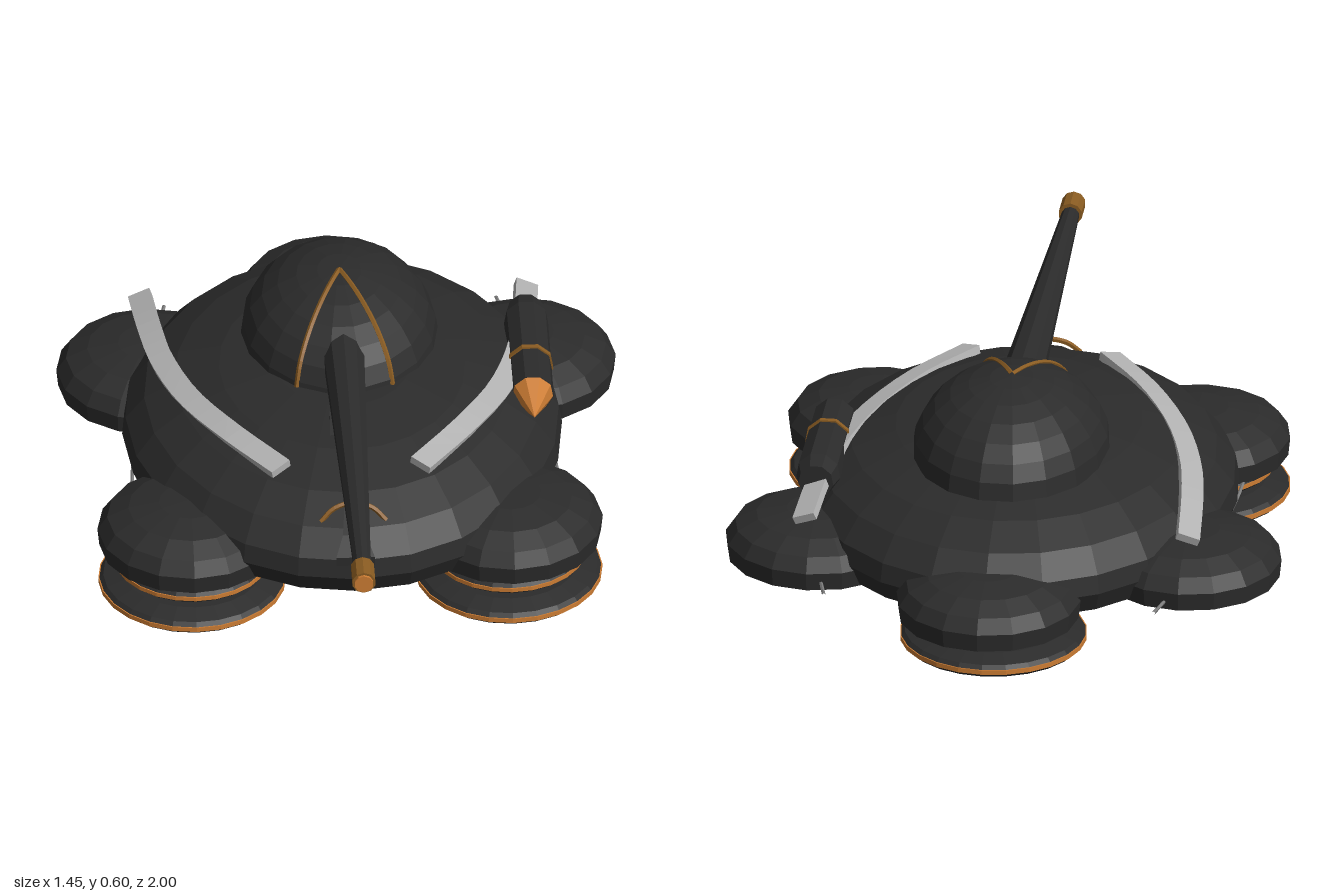
import * as THREE from 'three';

const mat = (name, color) => {
  const m = new THREE.MeshStandardMaterial({ color, flatShading: true });
  m.name = name;
  return m;
};

export function createModel() {
  const root = new THREE.Group();
  root.name = 'hoverTank';
  const armour = mat('charcoal armour', 0x2b2b2b);
  const orange = mat('bright orange', 0xcc7c33);
  const bronze = mat('bronze trim', 0x8a5c22);
  const silver = mat('silver strip', 0xb4b4b4);
  const steel = mat('steel rod', 0x7c7c7c);

  const add = (name, geo, material, x = 0, y = 0, z = 0, parent = root) => {
    const m = new THREE.Mesh(geo, material);
    m.name = name;
    m.position.set(x, y, z);
    parent.add(m);
    return m;
  };
  const lathe = (pts, seg) => new THREE.LatheGeometry(pts.map(p => new THREE.Vector2(p[0], p[1])), seg);
  const vecs = pts => pts.map(p => new THREE.Vector3(...p));
  const tube = (pts, r, n = 16) =>
    new THREE.TubeGeometry(new THREE.CatmullRomCurve3(vecs(pts)), n, r, 5, false);
  // Cylinder lying along z, from z0 (radius r0) to z1 (radius r1)
  const rod = (r0, r1, z0, z1, seg) =>
    new THREE.CylinderGeometry(r1, r0, z1 - z0, seg).rotateX(Math.PI / 2).translate(0, 0, (z0 + z1) / 2);

  // Capped skin over equal rings, each counter-clockwise about the direction of travel
  const loft = rings => {
    const k = rings[0].length, idx = [];
    for (let i = 0; i < rings.length - 1; i++) {
      for (let j = 0; j < k; j++) {
        const a = i * k + j, b = i * k + (j + 1) % k;
        idx.push(a, b, b + k, a, b + k, a + k);
      }
    }
    const e = (rings.length - 1) * k;
    for (let j = 1; j < k - 1; j++) idx.push(0, j + 1, j, e, e + j, e + j + 1);
    const g = new THREE.BufferGeometry().setFromPoints(rings.flat());
    g.setIndex(idx);
    const flat = g.toNonIndexed();
    flat.computeVertexNormals();
    return flat;
  };
  const rect = (w, y0, y1, z) => vecs([[-w, y0, z], [w, y0, z], [w, y1, z], [-w, y1, z]]);

  // Hull: oval saucer with a shallow bowl below
  add('hull', lathe([
    [0, 0.066], [0.35, 0.08], [0.7, 0.112], [0.96, 0.145], [1, 0.2], [0.985, 0.25],
    [0.9, 0.31], [0.76, 0.358], [0.56, 0.398], [0.32, 0.422], [0, 0.43],
  ], 24).scale(0.57, 1, 0.695), armour, 0, 0, -0.135);

  // Domed pods around the rim
  const podGeo = lathe([
    [0, 0.14], [0.235, 0.14], [0.24, 0.188], [0.215, 0.225], [0.16, 0.252], [0.08, 0.268], [0, 0.272],
  ], 16);
  for (const [x, z] of [[0.415, 0.28], [-0.415, 0.28], [0.485, -0.45], [-0.485, -0.45], [0, -0.76]]) {
    add('rimPod', podGeo, armour, x, 0, z);
  }

  // Hover stacks: two discs with glowing bands
  const disc = (parent, r, y0, h) => {
    add('hoverDisc', lathe([
      [0, y0], [r * 0.76, y0], [r * 0.96, y0 + h * 0.25], [r, y0 + h * 0.42], [r, y0 + h * 0.62],
      [r * 0.96, y0 + h * 0.78], [r * 0.76, y0 + h], [0, y0 + h],
    ], 24), armour, 0, 0, 0, parent);
    add('discBand', new THREE.CylinderGeometry(r + 0.003, r + 0.003, h * 0.2, 24, 1), orange,
      0, y0 + h * 0.52, 0, parent);
  };
  for (const [x, z] of [[0.41, 0.29], [-0.41, 0.29], [0, -0.66]]) {
    const stack = new THREE.Group();
    stack.name = 'hoverStack';
    stack.position.set(x, 0, z);
    root.add(stack);
    disc(stack, 0.24, 0.004, 0.062);
    disc(stack, 0.2, 0.076, 0.055);
    add('stackHub', new THREE.CylinderGeometry(0.1, 0.1, 0.1, 16), armour, 0, 0.1, 0, stack);
    add('thrusterPlate', new THREE.CylinderGeometry(0.12, 0.12, 0.006, 24), orange, 0, 0.003, 0, stack);
  }

  // Turret dome
  const T = { y: 0.39, z: -0.285, rx: 0.257, ry: 0.207, rz: 0.33 };
  add('turret', new THREE.SphereGeometry(1, 18, 7, 0, Math.PI * 2, 0, Math.PI / 2).scale(T.rx, T.ry, T.rz),
    armour, 0, T.y, T.z);

  // Trim lines running down the dome from its crown
  for (const s of [1, -1]) {
    const pts = [];
    for (let i = 0; i <= 10; i++) {
      const t = i / 10, x = 0.128 * t, z = -0.28 + 0.285 * t;
      const q = 1 - (x / T.rx) ** 2 - ((z - T.z) / T.rz) ** 2;
      pts.push([s * x, T.y + T.ry * Math.sqrt(Math.max(0, q)), z]);
    }
    add('turretTrim', tube(pts, 0.007, 20), bronze);
  }

  // Gun
  add('barrel', rod(0.058, 0.023, -0.12, 0.93, 10), armour, 0, 0.485, 0);
  add('muzzle', rod(0.031, 0.031, 0.92, 0.993, 10), bronze, 0, 0.487, 0);
  add('bore', rod(0.025, 0.025, 0.993, 1, 10), orange, 0, 0.487, 0);
  add('barrelMount', loft([rect(0.035, 0.38, 0.46, -0.05), rect(0.045, 0.37, 0.43, 0.12),
    rect(0.05, 0.36, 0.385, 0.26)]), armour);

  // Nose vent and its arch
  add('noseVent', loft([rect(0.022, 0.3, 0.345, 0.43), rect(0.03, 0.26, 0.305, 0.51),
    rect(0.05, 0.245, 0.27, 0.562)]), armour);
  add('noseArch', tube([[-0.085, 0.315, 0.46], [-0.05, 0.347, 0.447], [0, 0.358, 0.44],
    [0.05, 0.347, 0.447], [0.085, 0.315, 0.46]], 0.007), bronze);

  // Curved strips over the deck and thin rods under the rim
  for (const s of [1, -1]) {
    const curve = new THREE.CatmullRomCurve3(vecs([
      [0.18, 0.381, 0.31], [0.3, 0.377, 0.14], [0.4, 0.36, -0.05], [0.46, 0.345, -0.25],
      [0.485, 0.333, -0.42], [0.5, 0.307, -0.605],
    ].map(([x, y, z]) => [s * x, y, z])));
    const rings = [];
    for (let i = 0; i <= 16; i++) {
      const p = curve.getPoint(i / 16), t = curve.getTangent(i / 16);
      const up = new THREE.Vector3(0.8 * p.x, 1, 0.5 * (p.z + 0.135)).normalize();
      const side = up.clone().cross(t).normalize();
      rings.push([[-1, -1], [1, -1], [1, 1], [-1, 1]].map(([a, b]) =>
        p.clone().addScaledVector(side, a * 0.03).addScaledVector(up, b * 0.011)));
    }
    add('deckStrip', loft(rings), silver);
    add('underRod', tube([
      [0.43, 0.165, -0.76], [0.495, 0.147, -0.45], [0.53, 0.14, -0.22], [0.555, 0.139, 0.1],
      [0.54, 0.139, 0.32], [0.38, 0.137, 0.45],
    ].map(([x, y, z]) => [s * x, y, z]), 0.005, 24), steel);
  }

  // Missile on the left flank
  const missile = new THREE.Group();
  missile.name = 'missile';
  missile.position.set(0.49, 0.34, 0);
  root.add(missile);
  add('missileBody', rod(0.058, 0.056, -0.4, -0.06, 9), armour, 0, 0, 0, missile);
  add('missileTail', rod(0.046, 0.058, -0.45, -0.4, 9), armour, 0, 0, 0, missile);
  add('missileBand', rod(0.061, 0.061, -0.202, -0.188, 9), bronze, 0, 0, 0, missile);
  add('missileNose', rod(0.054, 0, -0.06, 0.048, 9), orange, 0, 0, 0, missile);

  return root;
}
